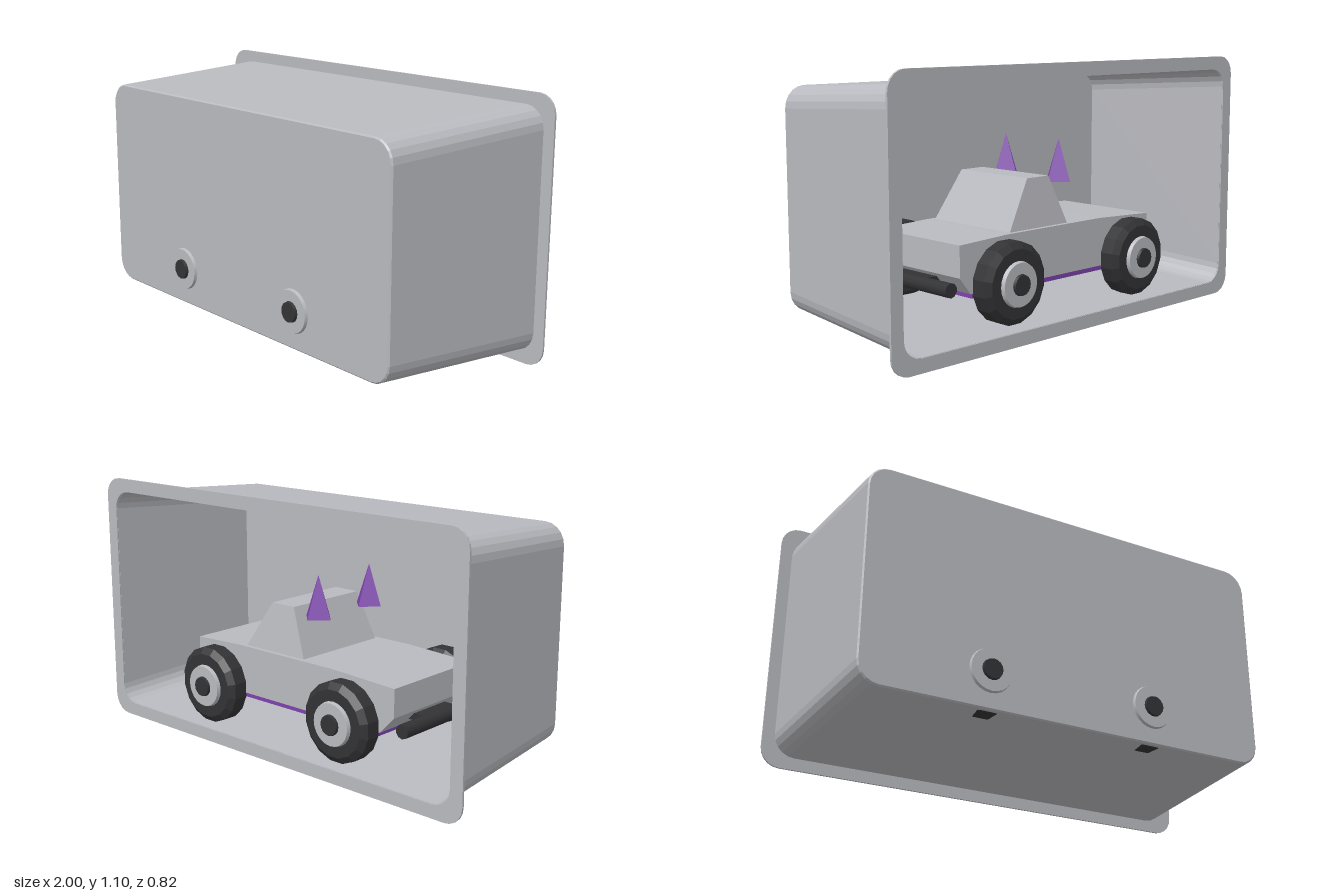
import * as THREE from 'three';

const mat = (name, color) => {
  const m = new THREE.MeshStandardMaterial({ color });
  m.name = name;
  return m;
};

// Flat facets: every triangle gets its own normals
function flat(geometry) {
  const g = geometry.index ? geometry.toNonIndexed() : geometry;
  g.computeVertexNormals();
  return g;
}

// Rounded rectangle outline, counterclockwise, centred on (0, 0.55)
function outline(hw, hh, r, steps = 5) {
  const pts = [];
  [[1, 1], [-1, 1], [-1, -1], [1, -1]].forEach(([sx, sy], k) => {
    for (let i = 0; i <= steps; i++) {
      const a = (k + i / steps) * Math.PI / 2;
      pts.push(new THREE.Vector2(sx * (hw - r) + r * Math.cos(a), 0.55 + sy * (hh - r) + r * Math.sin(a)));
    }
  });
  return pts;
}

// Skin over a sequence of outlines: [half width, half height, radius, z]
function loft(sections) {
  const rings = sections.map(([w, h, r, z]) => outline(w, h, r).map(p => [p.x, p.y, z]));
  const pos = [], n = rings[0].length;
  for (let s = 0; s + 1 < rings.length; s++) {
    const a = rings[s], b = rings[s + 1];
    for (let i = 0; i < n; i++) {
      const j = (i + 1) % n;
      pos.push(...a[i], ...a[j], ...b[j], ...a[i], ...b[j], ...b[i]);
    }
  }
  const g = new THREE.BufferGeometry();
  g.setAttribute('position', new THREE.Float32BufferAttribute(pos, 3));
  return flat(g);
}

export function createModel() {
  const grey = mat('light grey', 0xb9babf);
  const black = mat('tyre black', 0x333336);
  const purple = mat('purple', 0x7d42ad);
  const model = new THREE.Group();

  const add = (parent, name, geometry, material, x = 0, y = 0, z = 0) => {
    const m = new THREE.Mesh(geometry, material);
    m.name = name;
    m.position.set(x, y, z);
    parent.add(m);
    return m;
  };

  // Tapered tray, open towards the back
  const tray = new THREE.Group();
  tray.name = 'tray';
  model.add(tray);
  add(tray, 'trayShell', loft([
    [0, 0, 0, 0.377],
    [0.898, 0.448, 0.08, 0.377],
    [0.942, 0.492, 0.08, -0.38],
    [0.95, 0.5, 0.09, -0.38],
    [0.908, 0.459, 0.09, 0.379],
    [0.902, 0.453, 0.085, 0.385],
    [0, 0, 0, 0.385],
  ]), grey);

  // Flat flange around the opening
  const rim = new THREE.Shape(outline(1, 0.55, 0.08));
  rim.holes.push(new THREE.Path(outline(0.943, 0.493, 0.08)));
  add(tray, 'trayFlange', new THREE.ExtrudeGeometry(rim, { depth: 0.009, bevelEnabled: false }), grey, 0, 0, -0.385);

  // Toy car
  const car = new THREE.Group();
  car.name = 'car';
  model.add(car);

  // Body: side profile extruded across the width
  const side = new THREE.Shape([
    [-0.5, 0.21], [0.5, 0.21], [0.555, 0.28], [0.555, 0.41], [0.3, 0.42], [-0.25, 0.42], [-0.57, 0.405], [-0.57, 0.285],
  ].map(([x, y]) => new THREE.Vector2(x, y)));
  add(car, 'carBody', new THREE.ExtrudeGeometry(side, { depth: 0.5, bevelEnabled: false }), grey, 0, 0, -0.25);
  add(car, 'underPlate', new THREE.BoxGeometry(0.96, 0.025, 0.47), purple, 0, 0.199, 0);

  // Cabin: box with its top drawn in
  const cabin = new THREE.BoxGeometry(0.34, 0.21, 0.46);
  const p = cabin.attributes.position;
  for (let i = 0; i < p.count; i++) {
    if (p.getY(i) < 0) continue;
    p.setX(i, p.getX(i) > 0 ? 0.04 : -0.085);
    p.setZ(i, Math.sign(p.getZ(i)) * 0.2);
  }
  add(car, 'cabin', flat(cabin), grey, 0.1, 0.52, 0);

  // Spikes
  for (const z of [-0.16, 0.16]) {
    add(car, 'spike', flat(new THREE.ConeGeometry(0.068, 0.18, 4)), purple, -0.088, 0.68, z);
  }

  // Bumper bars
  for (const x of [-0.61, 0.6]) {
    add(car, 'bumper', new THREE.CylinderGeometry(0.03, 0.03, 0.5, 10).rotateX(Math.PI / 2), black, x, 0.24, 0);
    add(car, 'bumperMount', new THREE.BoxGeometry(0.1, 0.03, 0.2), black, x * 0.93, 0.25, 0);
  }

  // Wheels: chamfered tyre, hub disc and cap, plus an axle per pair
  const tyre = flat(new THREE.LatheGeometry([
    [0, 0.28], [0.14, 0.28], [0.167, 0.3], [0.167, 0.362], [0.14, 0.382], [0, 0.382],
  ].map(([r, z]) => new THREE.Vector2(r, z)), 16).rotateY(Math.PI / 16).rotateX(Math.PI / 2));
  const hub = new THREE.CylinderGeometry(0.088, 0.094, 0.022, 24).rotateX(Math.PI / 2);
  const cap = new THREE.CylinderGeometry(0.041, 0.045, 0.02, 16).rotateX(Math.PI / 2);
  for (const x of [-0.37, 0.37]) {
    add(car, 'axle', new THREE.CylinderGeometry(0.03, 0.03, 0.6, 10).rotateX(Math.PI / 2), black, x, 0.25, 0);
    for (const turn of [0, Math.PI]) {
      const wheel = new THREE.Group();
      wheel.name = 'wheel';
      wheel.position.set(x, 0.25, 0);
      wheel.rotation.y = turn;
      car.add(wheel);
      add(wheel, 'tyre', tyre, black);
      add(wheel, 'hub', hub, grey, 0, 0, 0.387);
      add(wheel, 'hubCap', cap, black, 0, 0, 0.4);
    }
  }
  return model;
}
